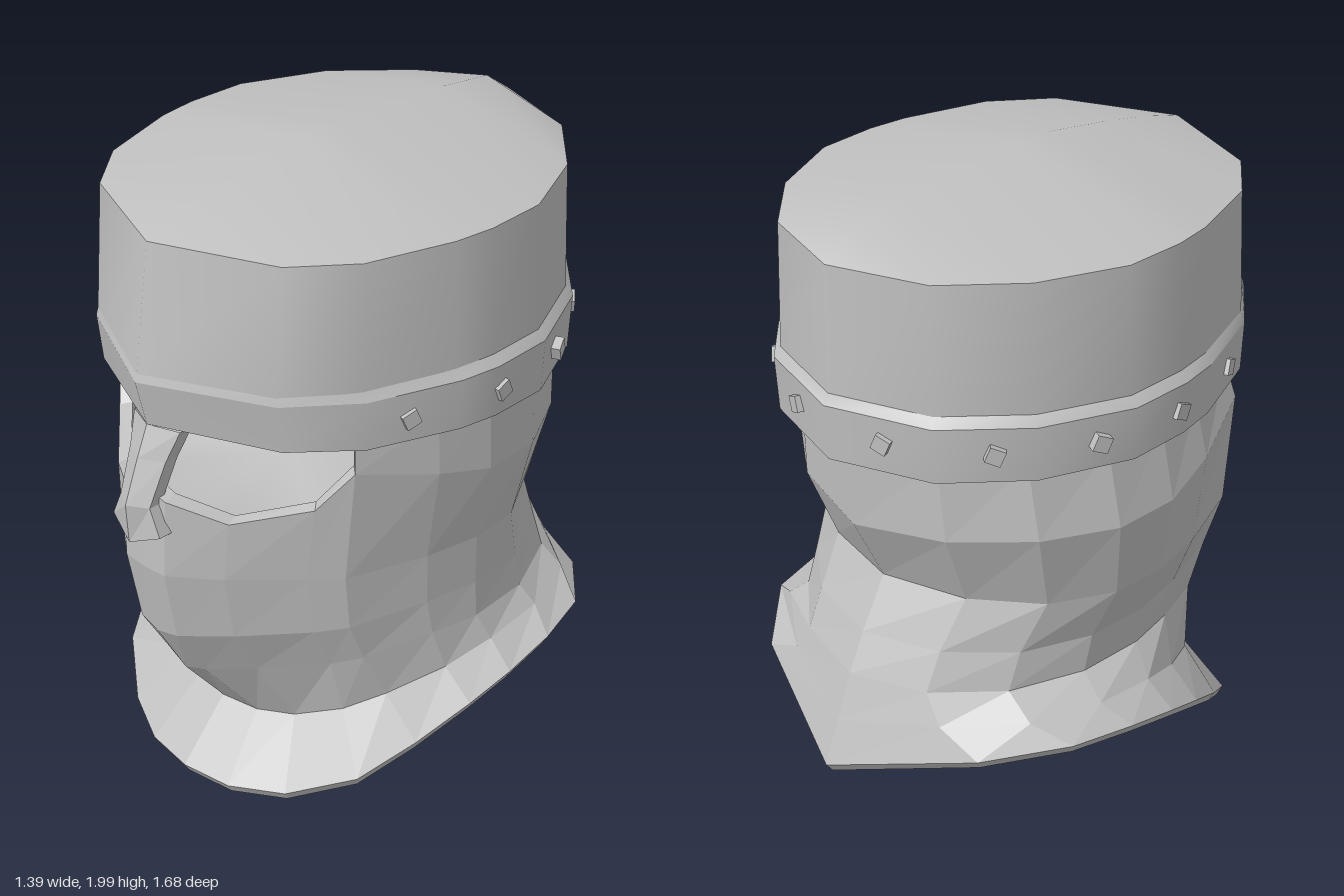
import * as THREE from 'three';
import { mergeGeometries, mergeVertices } from 'three/addons/utils/BufferGeometryUtils.js';

// Half outline (front to back, x >= 0) mirrored into a closed ring
const fullRing = (half) => [
  ...half,
  ...half.slice(1, -1).reverse().map(([x, y, z]) => [-x, y, z]),
];

// Skin rings listed bottom to top; smooth rounds each strip but keeps its edges sharp
function loft(rings, { smooth = false, skip = () => false } = {}) {
  const strips = [];
  for (let r = 0; r < rings.length - 1; r++) {
    const n = rings[r].length;
    const index = [];
    for (let i = 0; i < n; i++) {
      if (skip(r, i)) continue;
      const j = (i + 1) % n;
      index.push(i, j, n + j, i, n + j, n + i);
    }
    let g = new THREE.BufferGeometry();
    g.setAttribute('position', new THREE.Float32BufferAttribute([...rings[r], ...rings[r + 1]].flat(), 3));
    g.setIndex(index);
    if (smooth) g = mergeVertices(g, 1e-4);
    else g = g.toNonIndexed();
    g.computeVertexNormals();
    strips.push(smooth ? g.toNonIndexed() : g);
  }
  return mergeGeometries(strips);
}

export function createModel() {
  const group = new THREE.Group();
  const steel = new THREE.MeshStandardMaterial({ color: 0xc0c0c0, side: THREE.DoubleSide });
  steel.name = 'steel';
  const add = (name, geometry) => {
    const mesh = new THREE.Mesh(geometry, steel);
    mesh.name = name;
    group.add(mesh);
    return mesh;
  };

  // Crown: egg-shaped outline, pointed at front and back; growth fades between side and front
  const outline = [
    [0, 0.72], [0.37, 0.57], [0.51, 0.4], [0.595, 0.13], [0.612, 0],
    [0.605, -0.2], [0.49, -0.46], [0.3, -0.66], [0, -0.76],
  ];
  const crownRing = (y, side = 1, front = 1, back = 1, tilt = 0) =>
    fullRing(outline.map(([x, z]) => {
      const t = z > 0 ? (z / 0.72) ** 2 : 0;
      const grow = z > 0 ? 1 + (front - 1) * t : back;
      return [x * (1 + (side - 1) * (1 - t)), y + tilt * z, z * grow];
    }));
  const crownTop = crownRing(1.88);
  const crownBase = crownRing(1.49, 1.03, 1.08, 1.01);
  add('crown', loft([crownBase, crownTop], { smooth: true }));

  // Lid: gently ridged along the centre line
  const ridgeY = [1.88, 1.92, 1.955, 2, 1.998, 1.99, 1.975, 1.95, 1.88];
  const ridge = fullRing(outline.map(([, z], i) => [0, ridgeY[i], z]));
  add('lid', loft([crownTop, ridge], { smooth: true }));

  // Brow band with bevelled upper edge
  add('browBand', loft([
    crownRing(1.30, 0.98, 0.97, 0.92, 0.022),
    crownRing(1.30, 1.06, 1.04, 1.02, 0.022),
    crownRing(1.462, 1.07, 1.09, 1.035, 0.005),
    crownRing(1.495, 1.025, 1.075, 1.005, 0.005),
  ], { smooth: true }));

  // Square studs around the band: x, z, heading
  const studs = [
    [0.572, 0.28, 1.24], [0.645, -0.02, 1.57], [0.605, -0.31, 2.0],
    [0.44, -0.56, 2.3], [0.17, -0.725, 2.81],
  ];
  for (const side of [1, -1]) {
    for (const [x, z, heading] of studs) {
      const stud = add('stud', new THREE.BoxGeometry(0.048, 0.048, 0.04));
      stud.position.set(side * x, 1.38, z);
      stud.rotation.set(0, side * heading, side * 0.4, 'YXZ');
    }
  }

  // Face and neck guard: unit cross-section scaled for each row, with a slight hand-made lean
  const section = [
    [0, 1], [0.14, 0.99], [0.38, 0.85], [0.67, 0.63], [0.8, 0.525], [0.95, 0.2],
    [1, -0.05], [0.97, -0.35], [0.79, -0.66], [0.46, -0.89], [0, -1],
  ];
  const wallRing = (w, f, b, y, lean = 0) => fullRing(section.map(([x, z], i) => {
    const h = y.length > 3 ? y[i]
      : i < 5 ? THREE.MathUtils.lerp(y[0], y[1], i / 5) : THREE.MathUtils.lerp(y[1], y[2], (i - 5) / 5);
    return [x * w, h, z * (z > 0 ? f : b)];
  })).map(([x, y, z]) => [x + lean * Math.abs(x), y, z]);
  const eyeLine = [1.13, 1.10, 1.04, 1.09, 1.21, 1.14, 1.09, 1.08, 1.08, 1.06, 1.03];
  const flare = fullRing([
    [0, 0.04, 0.66], [0.17, 0.04, 0.635], [0.34, 0.06, 0.555], [0.515, 0.14, 0.42], [0.605, 0.24, 0.26],
    [0.668, 0.33, 0.09], [0.695, 0.385, -0.06], [0.69, 0.42, -0.24], [0.635, 0.425, -0.44],
    [0.45, 0.385, -0.65], [0, 0.25, -0.84],
  ]);
  const throat = fullRing([
    [0, 0.222, 0.49], [0.13, 0.225, 0.47], [0.25, 0.245, 0.425], [0.39, 0.305, 0.355], [0.48, 0.36, 0.26],
    [0.565, 0.415, 0.09], [0.605, 0.46, -0.07], [0.6, 0.48, -0.28], [0.52, 0.48, -0.5],
    [0.31, 0.45, -0.665], [0, 0.39, -0.785],
  ]);
  const eyeRing = wallRing(0.628, 0.775, 0.69, eyeLine, -0.03);
  const headRing = wallRing(0.598, 0.76, 0.7, [1.32, 1.32, 1.32]);
  add('faceAndNeckGuard', loft([
    flare,
    throat,
    wallRing(0.55, 0.64, 0.73, [0.41, 0.55, 0.53], 0.04),
    wallRing(0.552, 0.745, 0.67, [0.6, 0.67, 0.65], 0.025),
    wallRing(0.587, 0.785, 0.58, [0.85, 0.84, 0.81], -0.03),
    eyeRing,
    headRing,
  ], { skip: (r, i) => r === 5 && (i < 4 || i >= 16) }));

  // Eye opening lip: wall thickness along the cut edge
  const edge = [headRing[16], ...eyeRing.slice(16), ...eyeRing.slice(0, 5), headRing[4]];
  const inner = edge.map(([x, y, z]) => [x * 0.94, y + 0.008, z * 0.94]);
  add('eyeOpeningLip', loft([edge, inner], { skip: (r, i) => i === edge.length - 1 }));

  // Smooth inner bowl seen through the eye opening
  const bowlRim = headRing.map(([x, y, z], i) => {
    const column = Math.min(i, 20 - i);
    if (column > 4) return [x * 0.96, y, z * 0.96];
    return [x * 0.93, column === 4 ? 1.19 : 1.03, z * 0.94];
  });
  add('innerBowl', loft([bowlRim.map(() => [0, 0.98, 0.2]), bowlRim], { smooth: true }));

  // Collar rim and closed underside
  const flareUnder = flare.map(([x, y, z]) => [x * 0.975, y - 0.033, z * 0.97]);
  add('collarRim', loft([flareUnder, flare]));
  add('underside', loft([flareUnder.map(() => [0, 0.33, -0.12]), flareUnder]));

  // Nasal bar: side y, centre y, half width, centre z, side z
  const nasalRing = ([y, yc, w, zc, zs]) => {
    const t = 0.045;
    return [[0, yc, zc], [w, y, zs], [w, y, zs - t], [0, yc, zc - t], [-w, y, zs - t], [-w, y, zs]];
  };
  const nasal = [
    [1.0, 0.957, 0.1, 0.835, 0.805], [1.085, 1.085, 0.062, 0.842, 0.805],
    [1.22, 1.22, 0.075, 0.79, 0.75], [1.312, 1.316, 0.097, 0.749, 0.71],
  ].map(nasalRing);
  add('nasalBar', loft([nasal[0].map(() => [0, 0.975, 0.8]), ...nasal]));

  return group;
}
